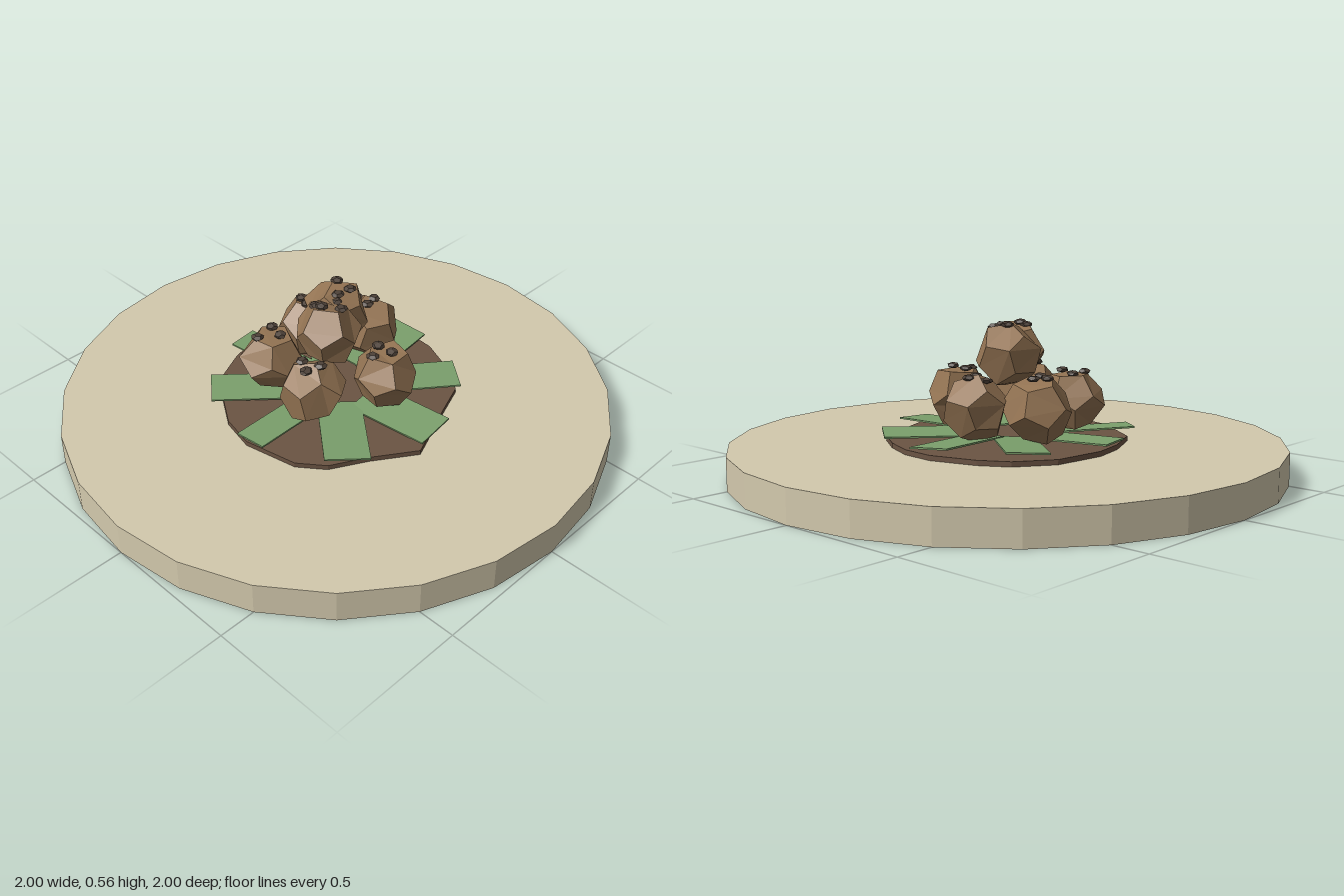
import * as THREE from 'three';

const mat = (name, color, extra = {}) =>
  new THREE.MeshStandardMaterial({ name, color, flatShading: true, ...extra });

function add(group, name, geometry, material) {
  const mesh = new THREE.Mesh(geometry, material);
  mesh.name = name;
  group.add(mesh);
  return mesh;
}

// Small seeded random generator
function seeded(seed) {
  let s = seed;
  return () => (s = (s * 16807) % 2147483647) / 2147483647;
}

// Faceted lump: a dodecahedron whose shared corners are nudged in or out
function lumpGeometry(radius, seed, amount = 0.07) {
  const rand = seeded(seed * 7919 + 17);
  for (let i = 0; i < 5; i++) rand();
  const geo = new THREE.DodecahedronGeometry(radius, 0);
  const pos = geo.attributes.position;
  const v = new THREE.Vector3();
  const scales = new Map();
  for (let i = 0; i < pos.count; i++) {
    v.fromBufferAttribute(pos, i);
    const key = v.toArray().map(n => Math.round(n * 1000)).join();
    if (!scales.has(key)) scales.set(key, 1 + (rand() - 0.5) * 2 * amount);
    v.multiplyScalar(scales.get(key));
    pos.setXYZ(i, v.x, v.y, v.z);
  }
  geo.rotateX(rand() * 3);
  geo.rotateY(rand() * 3);
  geo.computeVertexNormals();
  return geo;
}

export function createModel() {
  const model = new THREE.Group();
  model.name = 'moundOnDisc';
  const stone = mat('pale stone', 0xd3c9ad);
  const soilMat = mat('dark soil', 0x6b5443);
  const leafMat = mat('leaf green', 0x7ba06c, { side: THREE.DoubleSide });
  const lumpMat = mat('earthy brown', 0x947453);
  const seedMat = mat('dark seed', 0x4d4138);

  // Round base
  add(model, 'base', new THREE.CylinderGeometry(1, 1, 0.12, 24), stone).position.y = 0.06;

  // Irregular soil patch, outlined in x and z
  const outline = [
    [0, -0.43], [0.2, -0.41], [0.33, -0.32], [0.39, -0.22], [0.44, -0.05], [0.43, 0.08],
    [0.38, 0.2], [0.3, 0.32], [0.12, 0.39], [-0.05, 0.46], [-0.2, 0.36], [-0.33, 0.29],
    [-0.4, 0.2], [-0.44, 0], [-0.41, -0.13], [-0.28, -0.33], [-0.13, -0.4],
  ];
  const shape = new THREE.Shape(outline.map(([x, z]) => new THREE.Vector2(x, -z)));
  const soil = new THREE.ExtrudeGeometry(shape, { depth: 0.018, bevelEnabled: false });
  soil.rotateX(-Math.PI / 2);
  add(model, 'soil', soil, soilMat).position.y = 0.121;

  // Ring of flat leaves: end x, end z, width, tilt, roll
  const leaves = [
    [-0.06, -0.445, 0.12, 0.03, 0.04], [0.28, -0.35, 0.15, 0.02, -0.05],
    [0.447, -0.05, 0.16, 0.02, 0.08], [0.35, 0.28, 0.16, 0.01, -0.05],
    [0.045, 0.445, 0.16, 0.01, 0.06], [-0.28, 0.335, 0.16, 0.02, -0.04],
    [-0.45, 0.03, 0.12, 0.05, 0.05], [-0.35, -0.29, 0.14, 0.04, -0.06],
  ];
  const leafGroup = new THREE.Group();
  leafGroup.name = 'leaves';
  model.add(leafGroup);
  for (const [x, z, width, tilt, roll] of leaves) {
    const geo = new THREE.BoxGeometry(width, 0.006, 0.32);
    geo.rotateZ(roll);
    geo.rotateX(-tilt);
    geo.translate(0, 0, Math.hypot(x, z) - 0.16);
    geo.rotateY(Math.atan2(x, z));
    add(leafGroup, 'leaf', geo, leafMat).position.y = 0.159;
  }

  // Stacked lumps: centre x, y, z, radius, then the x, z of the seeds on top
  const lumps = [
    [-0.16, 0.27, -0.165, 0.118, [[-0.205, -0.19], [-0.125, -0.2], [-0.145, -0.135]]],
    [0.08, 0.27, -0.215, 0.121, [[0.07, -0.25], [0.055, -0.205], [0.115, -0.225]]],
    [0.225, 0.27, -0.06, 0.121, [[0.225, -0.11], [0.21, -0.045], [0.255, -0.055]]],
    [-0.195, 0.275, 0.075, 0.122, [[-0.205, 0.04], [-0.18, 0.105], [-0.235, 0.09]]],
    [0.05, 0.27, 0.195, 0.119, [[0, 0.18], [0.055, 0.155], [0.055, 0.22]]],
    [-0.07, 0.435, 0.03, 0.116, [[-0.09, -0.01], [-0.085, 0.015], [-0.04, 0.065], [0, 0]]],
    [0.04, 0.44, -0.04, 0.118, [[0.06, -0.055], [0.01, 0], [0.065, 0.005]]],
  ];
  lumps.forEach(([x, y, z, radius, seeds], i) => {
    const group = new THREE.Group();
    group.name = 'seededLump';
    model.add(group);
    add(group, 'lump', lumpGeometry(radius, i + 3), lumpMat).position.set(x, y, z);
    seeds.forEach(([sx, sz], j) => {
      const d = Math.hypot(sx - x, sz - z);
      const top = y + Math.sqrt(Math.max(0.003, (radius * 0.95) ** 2 - d * d));
      const seed = add(group, 'seed', lumpGeometry(0.023, i * 5 + j + 40, 0.04), seedMat);
      seed.scale.y = 0.5;
      seed.position.set(sx, top, sz);
    });
  });
  return model;
}
